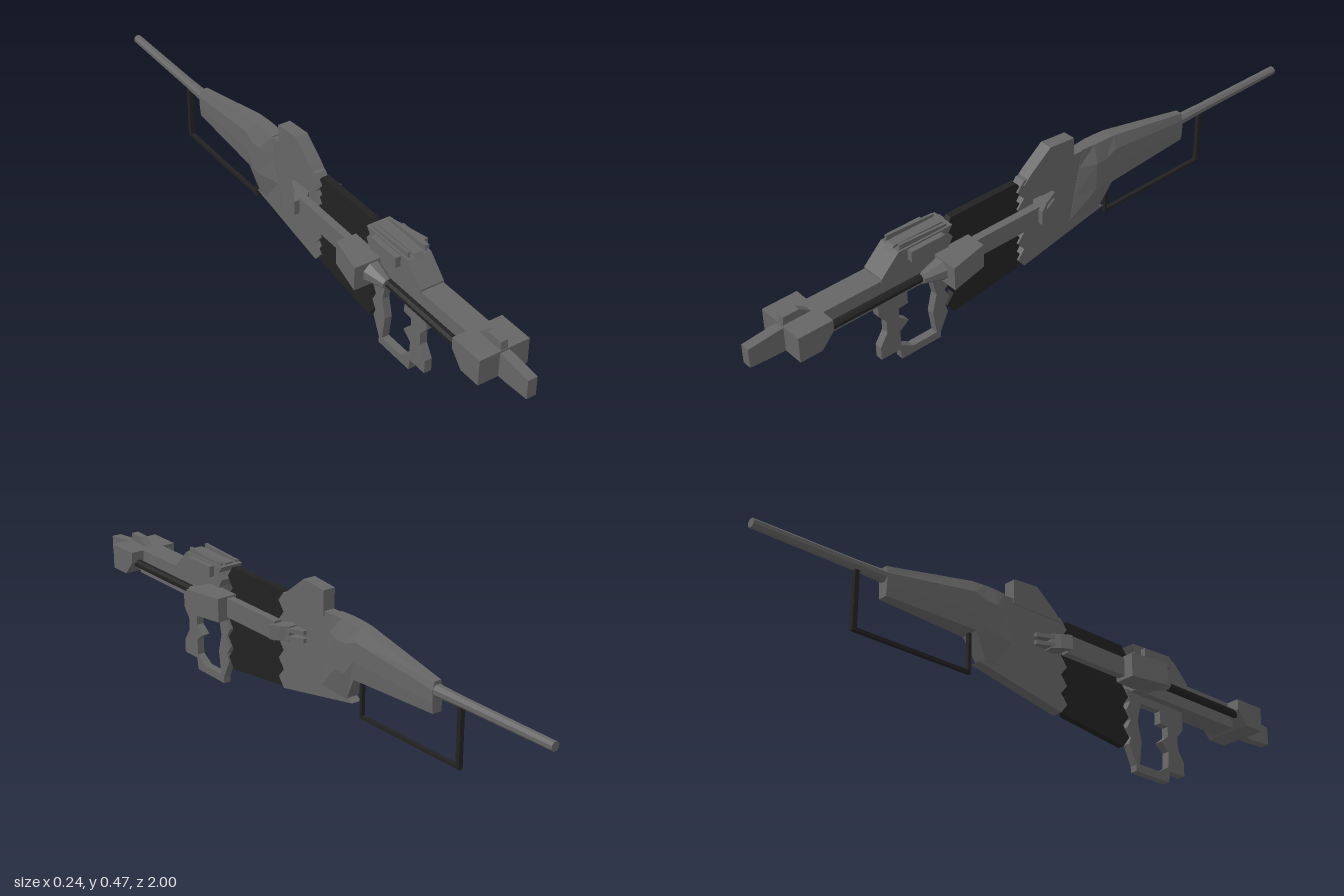
import * as THREE from 'three';

const grey = new THREE.MeshStandardMaterial({ color: 0x666666, flatShading: true });
const black = new THREE.MeshStandardMaterial({ color: 0x222222, flatShading: true });

const shapeOf = (pts) => new THREE.Shape(pts.map(([a, b]) => new THREE.Vector2(a, b)));

// Side outline [z, y], extruded across x around centre cx
function side(pts, halfWidth, cx = 0, hole) {
  const shape = shapeOf(pts);
  if (hole) shape.holes.push(shapeOf(hole));
  const geo = new THREE.ExtrudeGeometry(shape, { depth: 2 * halfWidth, bevelEnabled: false });
  return geo.rotateY(-Math.PI / 2).translate(cx + halfWidth, 0, 0);
}

// Plan outline [x, z], extruded from y0 up to y1
function plan(pts, y0, y1, s = 1) {
  const shape = shapeOf(pts.map(([x, z]) => [x * s, -z]));
  const geo = new THREE.ExtrudeGeometry(shape, { depth: y1 - y0, bevelEnabled: false });
  return geo.rotateX(-Math.PI / 2).translate(0, y0, 0);
}

function box(x0, x1, y0, y1, z0, z1) {
  return new THREE.BoxGeometry(x1 - x0, y1 - y0, z1 - z0)
    .translate((x0 + x1) / 2, (y0 + y1) / 2, (z0 + z1) / 2);
}

// Round bar along z, from zBack (radius rBack) to zFront (radius rFront)
function bar(x, y, zBack, zFront, rBack, rFront, sides = 8) {
  return new THREE.CylinderGeometry(rFront, rBack, zFront - zBack, sides)
    .rotateY(Math.PI / sides).rotateX(Math.PI / 2).translate(x, y, (zBack + zFront) / 2);
}

// Jagged edge of points running from y0 to y1 around z
function zigzag(z, y0, y1, n, amp) {
  return Array.from({ length: n + 1 }, (_, i) => [z + (i % 2 ? amp : -amp), y0 + (y1 - y0) * i / n]);
}

// Skin between rings of equal length, closed at both ends
function loft(rings) {
  const n = rings[0].length, index = [];
  for (let r = 0; r < rings.length - 1; r++) {
    for (let i = 0; i < n; i++) {
      const j = (i + 1) % n, a = r * n + i, b = r * n + j;
      index.push(a, b, a + n, b, b + n, a + n);
    }
  }
  const last = (rings.length - 1) * n;
  for (let i = 1; i < n - 1; i++) index.push(0, i + 1, i, last, last + i, last + i + 1);
  const geo = new THREE.BufferGeometry();
  geo.setAttribute('position', new THREE.Float32BufferAttribute(rings.flat(2), 3));
  geo.setIndex(index);
  const flat = geo.toNonIndexed();
  flat.computeVertexNormals();
  return flat;
}

export function createModel() {
  const model = new THREE.Group();
  const add = (name, geo, mat = grey) => {
    const mesh = new THREE.Mesh(geo, mat);
    mesh.name = name;
    model.add(mesh);
  };

  // Front nose, cross block and sight
  add('nose', side([[1, 0.255], [1, 0.315], [0.9, 0.325], [0.86, 0.325], [0.86, 0.25], [0.92, 0.25]], 0.015));
  add('frontBlock', side([[0.89, 0.25], [0.89, 0.33], [0.78, 0.33], [0.78, 0.295], [0.82, 0.25]], 0.08));
  add('frontSight', side([[0.89, 0.32], [0.885, 0.355], [0.835, 0.355], [0.8, 0.33], [0.8, 0.32]], 0.011));

  // Long fore-end and receiver
  add('foreEnd', box(-0.037, 0.037, 0.25, 0.33, 0.36, 0.8));
  add('receiver', side([[0.59, 0.32], [0.59, 0.335], [0.53, 0.395], [0.345, 0.395],
    [0.36, 0.375], [0.345, 0.355], [0.36, 0.33], [0.36, 0.26]], 0.038));
  add('receiverRidge', side([[0.585, 0.33], [0.525, 0.403], [0.36, 0.4], [0.36, 0.33]], 0.014));

  // Dark centre plate with jagged ends
  add('centrePlate', side([...zigzag(0.34, 0.065, 0.395, 10, 0.012),
    ...zigzag(0.08, 0.395, 0.095, 10, -0.012)], 0.011), black);

  // Rear body with hump, jagged at the front
  add('rearBody', side([...zigzag(0.08, 0.095, 0.395, 10, 0.012),
    [-0.16, 0.395], [-0.16, 0.2], [-0.22, 0.17], [-0.245, 0.157]], 0.017));
  add('hump', side([[0.07, 0.38], [0.04, 0.41], [-0.03, 0.465], [-0.12, 0.457], [-0.12, 0.38]], 0.02));

  // Tapered stock: [zTop, zBottom, yTop, yBottom, wTop, wMiddle, wBottom]
  const stations = [
    [-0.155, -0.11, 0.398, 0.168, 0.017, 0.018, 0.0175],
    [-0.2, -0.19, 0.398, 0.166, 0.021, 0.038, 0.02],
    [-0.235, -0.225, 0.397, 0.165, 0.021, 0.037, 0.02],
    [-0.28, -0.267, 0.394, 0.24, 0.02, 0.035, 0.03],
    [-0.575, -0.575, 0.337, 0.245, 0.011, 0.018, 0.015],
  ];
  add('stock', loft(stations.map(([zt, zb, yt, yb, wt, wm, wb]) => {
    const h = yt - yb;
    const half = [[wt, yt], [wm, yt - h * 0.25], [wm, yb + h * 0.36], [wb, yb]];
    const ring = [...half, ...half.slice().reverse().map(([x, y]) => [-x, y])];
    return ring.map(([x, y]) => [x, y, zb + (zt - zb) * (y - yb) / h]);
  })));

  // Rear rod
  add('rearRod', bar(0, 0.309, -1, -0.66, 0.014, 0.016));
  add('rearRodCollar', bar(0, 0.309, -0.67, -0.56, 0.016, 0.019));

  // Wire bracket below the stock
  add('bracketFrontLeg', box(-0.006, 0.006, 0.118, 0.26, -0.275, -0.265), black);
  add('bracketRearLeg', box(-0.007, 0.007, 0.118, 0.305, -0.673, -0.659), black);
  add('bracketBar', box(-0.006, 0.006, 0.116, 0.126, -0.673, -0.265), black);

  // Grip with its open hand guard
  add('grip', side(
    [[0.59, 0.255], [0.59, 0.19], [0.565, 0.16], [0.565, 0.12], [0.59, 0.08], [0.59, 0.037],
      [0.525, 0.037], [0.52, 0], [0.38, 0], [0.38, 0.02], [0.352, 0.08], [0.36, 0.105],
      [0.345, 0.13], [0.36, 0.16], [0.345, 0.19], [0.36, 0.22], [0.345, 0.255]], 0.012, 0,
    [[0.49, 0.225], [0.405, 0.225], [0.39, 0.16], [0.405, 0.1], [0.395, 0.025], [0.48, 0.025],
      [0.52, 0.05], [0.522, 0.1], [0.49, 0.125], [0.522, 0.15], [0.522, 0.182], [0.49, 0.185]]));

  // Mirrored side parts
  for (const s of [1, -1]) {
    const n = s > 0 ? 'left' : 'right';
    add(n + 'TopRail', side([[0.525, 0.385], [0.52, 0.411], [0.36, 0.403], [0.36, 0.385]], 0.004, s * 0.028));
    add(n + 'SideBox', box(s * 0.045 - 0.01, s * 0.045 + 0.01, 0.357, 0.39, 0.385, 0.5));
    add(n + 'Rod', bar(s * 0.055, 0.29, 0.45, 0.8, 0.013, 0.013), black);
    add(n + 'RodCone', bar(s * 0.06, 0.29, 0.41, 0.475, 0.034, 0.015));
    add(n + 'Pod', plan([[0.03, 0.41], [0.122, 0.41], [0.095, 0.285], [0.03, 0.285]], 0.252, 0.327, s));
    add(n + 'Arm', box(s * 0.051 - 0.012, s * 0.051 + 0.012, 0.262, 0.322, 0.05, 0.3));

    // Hooked arm end with a slot at its tip
    add(n + 'HookBase', plan([[0.012, 0.03], [0.04, 0.055], [0.08, 0.055], [0.062, 0.025],
      [0.045, 0.005], [0.012, 0.005]], 0.27, 0.315, s));
    for (const y of [0.274, 0.298]) {
      add(n + 'HookProng', plan([[0.012, 0.02], [0.055, 0.02], [0.028, -0.04], [0.012, -0.04]], y, y + 0.013, s));
    }
  }
  return model;
}
